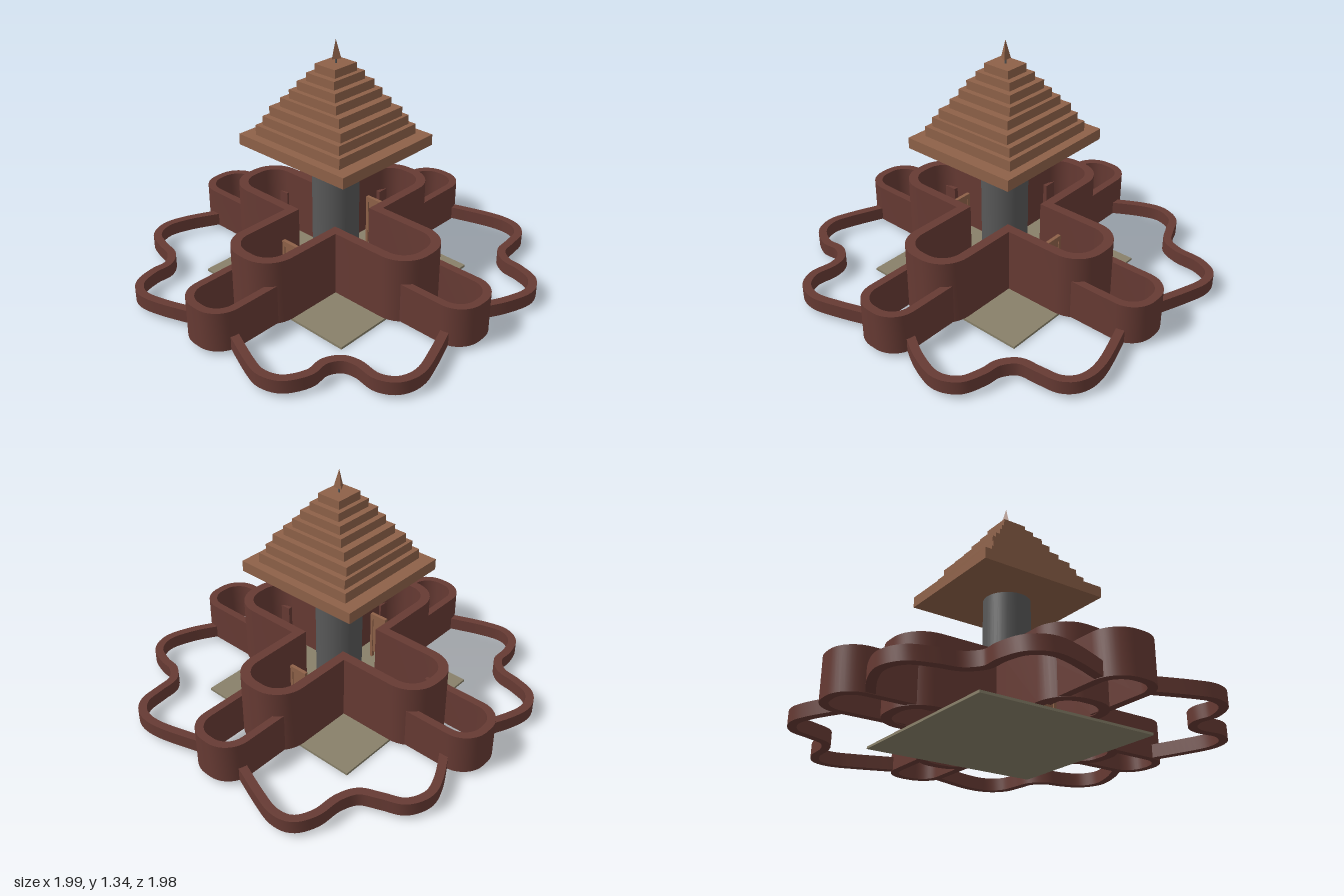
import * as THREE from 'three';
import { toCreasedNormals } from 'three/addons/utils/BufferGeometryUtils.js';

const mat = (name, color) => {
  const m = new THREE.MeshStandardMaterial({ color });
  m.name = name;
  return m;
};
const V = (x, z) => new THREE.Vector2(x, z);

// Extrudes a plan drawn in x,z between two heights
function plan(shape, y0, y1) {
  const g = new THREE.ExtrudeGeometry(shape, { depth: y1 - y0, bevelEnabled: false });
  g.rotateX(Math.PI / 2).translate(0, y1, 0);
  return toCreasedNormals(g, 0.6);
}

// Outline of one arm pointing along +x with a rounded end
function armOutline(start, half, len, r) {
  const pts = [V(start, -half)];
  for (const s of [-1, 1]) {
    for (let i = 0; i <= 10; i++) {
      const a = (s < 0 ? -Math.PI / 2 : 0) + (i / 10) * Math.PI / 2;
      pts.push(V(len - r + r * Math.cos(a), s * (half - r) + r * Math.sin(a)));
    }
  }
  pts.push(V(start, half));
  return pts;
}

const turn = (pts, k) => pts.map(p => p.clone().rotateAround(V(0, 0), k * Math.PI / 2));

// Four arms joined to a closed cross
function crossOutline(half, len, r) {
  const pts = [];
  for (let k = 0; k < 4; k++) pts.push(...turn(armOutline(half, half, len, r), k).slice(0, -1));
  return pts;
}

// Constant width ribbon following a smooth path
function ribbon(points, width) {
  const curve = new THREE.SplineCurve(points.map(([x, z]) => V(x, z)));
  const a = [], b = [], n = 64;
  for (let i = 0; i <= n; i++) {
    const p = curve.getPoint(i / n), t = curve.getTangent(i / n);
    const off = V(-t.y, t.x).multiplyScalar(width / 2);
    a.push(p.clone().add(off));
    b.push(p.clone().sub(off));
  }
  return new THREE.Shape([...a, ...b.reverse()]);
}

export function createModel() {
  const model = new THREE.Group();
  const brick = mat('red brick', 0x663a33);
  const wood = mat('brown roof', 0x8e6148);
  const stone = mat('grey stone', 0x585858);
  const paving = mat('olive paving', 0x888069);

  const add = (name, geo, material, x = 0, y = 0, z = 0) => {
    const m = new THREE.Mesh(geo, material);
    m.name = name;
    m.position.set(x, y, z);
    model.add(m);
    return m;
  };
  const box = (name, x0, x1, y0, y1, z0, z1, material) =>
    add(name, new THREE.BoxGeometry(x1 - x0, y1 - y0, z1 - z0), material,
      (x0 + x1) / 2, (y0 + y1) / 2, (z0 + z1) / 2);

  // Ground slab and central tower
  box('groundSlab', -0.51, 0.5, 0, 0.013, -0.515, 0.5, paving);
  add('tower', new THREE.CylinderGeometry(0.126, 0.126, 0.757, 32), stone, -0.009, 0.3885, -0.01);

  // Tall cross-shaped wall
  const cross = new THREE.Shape(crossOutline(0.187, 0.663, 0.165));
  cross.holes.push(new THREE.Path(crossOutline(0.134, 0.61, 0.112)));
  add('tallWall', plan(cross, 0.022, 0.382), brick, -0.012, 0, -0.02);

  // Medium U-shaped walls beyond each arm
  for (let k = 0; k < 4; k++) {
    const outer = armOutline(0.5, 0.158, 0.981, 0.14);
    const inner = armOutline(0.5, 0.115, 0.938, 0.1);
    const u = new THREE.Shape(turn([...outer, ...inner.reverse()], k));
    add('mediumWall', plan(u, 0.025, 0.245), brick, -0.007, 0, -0.014);
  }

  // Low winding garden walls, one per corner
  const gardens = [
    [[0.14, -0.84], [0.29, -0.92], [0.41, -0.95], [0.52, -0.9], [0.57, -0.79], [0.62, -0.69],
      [0.72, -0.645], [0.85, -0.635], [0.95, -0.58], [0.975, -0.48], [0.94, -0.35], [0.87, -0.16]],
    [[-0.15, -0.84], [-0.315, -0.92], [-0.45, -0.95], [-0.555, -0.9], [-0.6, -0.79], [-0.625, -0.68],
      [-0.7, -0.61], [-0.8, -0.605], [-0.91, -0.57], [-0.965, -0.48], [-0.945, -0.35], [-0.875, -0.16]],
    [[-0.87, 0.13], [-0.945, 0.32], [-0.97, 0.43], [-0.93, 0.53], [-0.82, 0.59], [-0.72, 0.585],
      [-0.645, 0.63], [-0.62, 0.71], [-0.63, 0.83], [-0.575, 0.92], [-0.465, 0.95], [-0.315, 0.91], [-0.15, 0.85]],
    [[0.14, 0.85], [0.27, 0.92], [0.417, 0.96], [0.525, 0.91], [0.57, 0.8], [0.585, 0.71],
      [0.65, 0.635], [0.755, 0.62], [0.87, 0.6], [0.94, 0.52], [0.943, 0.38], [0.87, 0.13]],
  ];
  for (const g of gardens) add('gardenWall', plan(ribbon(g, 0.045), 0.028, 0.1), brick);

  // Stepped roof: half width in x, half depth in z, top height
  const tiers = [
    [0.339, 0.367, 0.825], [0.288, 0.295, 0.88], [0.262, 0.268, 0.93],
    [0.23, 0.25, 0.98], [0.195, 0.205, 1.03], [0.172, 0.163, 1.078],
    [0.145, 0.132, 1.125], [0.113, 0.096, 1.17], [0.08, 0.07, 1.215],
  ];
  let y = 0.765;
  for (const [hx, hz, top] of tiers) {
    box('roofTier', -0.007 - hx, -0.007 + hx, y, top, -0.012 - hz, -0.012 + hz, wood);
    y = top;
  }

  // Spire on a thin rod
  add('spireRod', new THREE.CylinderGeometry(0.005, 0.005, 0.04, 8), stone, -0.006, 1.23, -0.012);
  const spire = new THREE.ConeGeometry(0.029, 0.1, 3).toNonIndexed();
  spire.computeVertexNormals();
  add('spire', spire, wood, -0.006, 1.29, -0.012).rotation.y = -Math.PI / 2;

  // Door frames standing inside the side arms
  for (const s of [-1, 1]) {
    const x = -0.01 + s * 0.33;
    for (const e of [-1, 1]) {
      const z = -0.02 + e * 0.045;
      box('doorPost', x - 0.01, x + 0.01, 0.013, 0.3, z - 0.008, z + 0.008, wood);
    }
    box('doorLintel', x - 0.01, x + 0.01, 0.28, 0.31, -0.073, 0.033, wood);
    box('doorPanel', x - 0.004, x + 0.004, 0.05, 0.28, -0.06, 0.02, wood);
  }
  return model;
}
